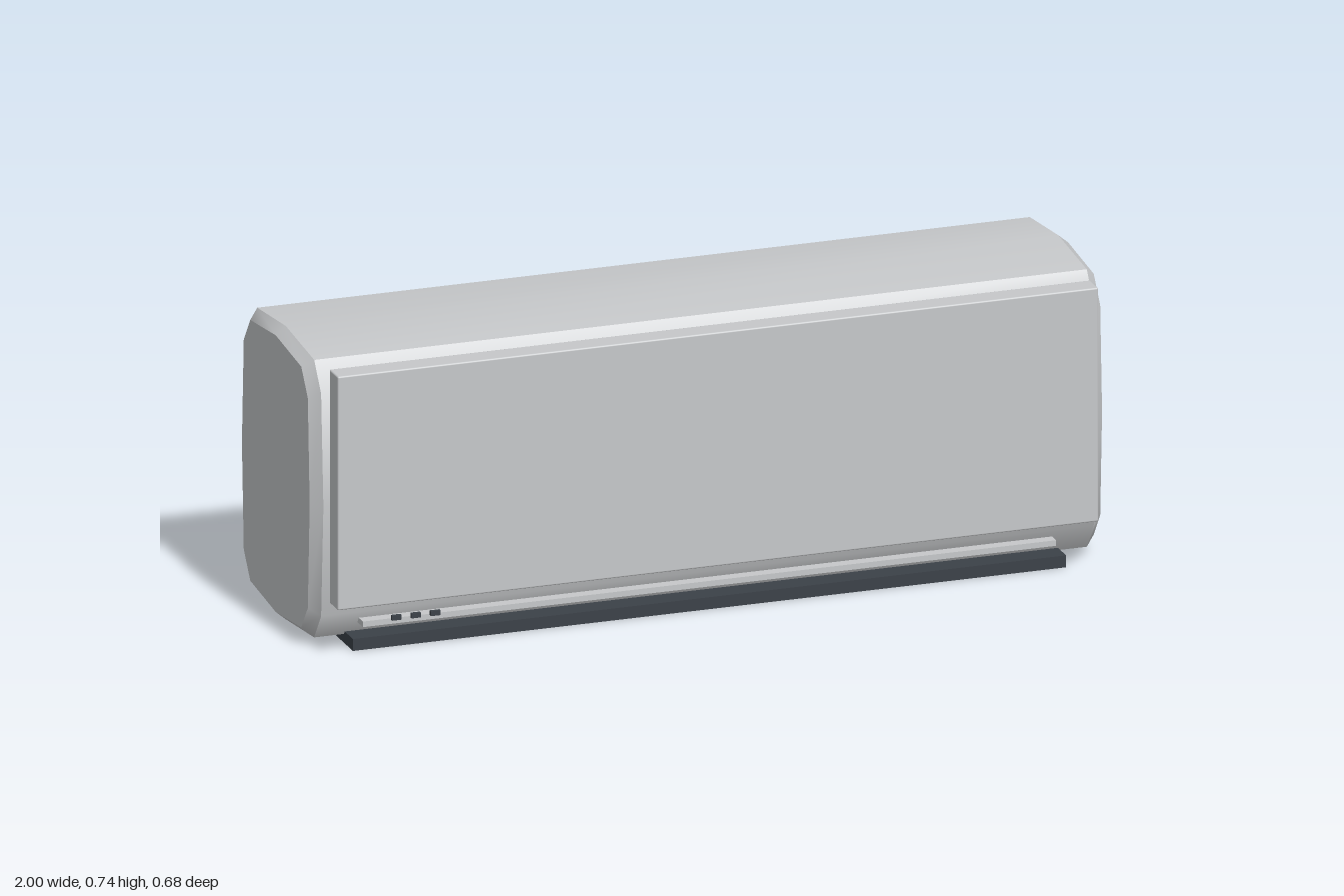
import * as THREE from 'three';
import { toCreasedNormals } from 'three/addons/utils/BufferGeometryUtils.js';
import { RoundedBoxGeometry } from 'three/addons/geometries/RoundedBoxGeometry.js';

const MID_Y = 0.371, MID_Z = 0.004;

// Mirror one quarter profile into a closed 12-point loop, anticlockwise seen from +x
function section(x, quarter) {
  const [side, low, high, top] = quarter;
  const loop = [
    side, low, high, top,
    [-high[0], high[1]], [-low[0], low[1]], [-side[0], 0],
    [-low[0], -low[1]], [-high[0], -high[1]], [0, -top[1]],
    [high[0], -high[1]], [low[0], -low[1]],
  ];
  return loop.map(([u, v]) => [x, MID_Y + v, MID_Z - u]);
}

// Loft the casing through its cross-sections and close both ends
function casingGeometry() {
  const full = [[0.266, 0], [0.25, 0.28], [0.201, 0.349], [0, 0.369]];
  const inset = [[0.239, 0], [0.226, 0.264], [0.18, 0.328], [0, 0.348]];
  const rings = [section(-1, inset), section(-0.975, full), section(0.975, full), section(1, inset)];
  const pos = [];
  const n = rings[0].length;
  for (let i = 0; i < n; i++) {
    const j = (i + 1) % n;
    for (let r = 0; r < 3; r++) {
      const a = rings[r], b = rings[r + 1];
      pos.push(...a[i], ...a[j], ...b[i], ...a[j], ...b[j], ...b[i]);
    }
    pos.push(-1, MID_Y, MID_Z, ...rings[0][j], ...rings[0][i]);
    pos.push(1, MID_Y, MID_Z, ...rings[3][i], ...rings[3][j]);
  }
  const g = new THREE.BufferGeometry();
  g.setAttribute('position', new THREE.Float32BufferAttribute(pos, 3));
  return toCreasedNormals(g, 0.68);
}

export function createModel() {
  const group = new THREE.Group();
  const material = (name, color) => {
    const m = new THREE.MeshStandardMaterial({ color });
    m.name = name;
    return m;
  };
  const shell = material('pale grey plastic', 0xc6c8ca);
  const dark = material('dark slate', 0x3b4148);
  const copper = material('copper', 0xb87345);

  const add = (name, geometry, mat, x, y, z) => {
    const mesh = new THREE.Mesh(geometry, mat);
    mesh.name = name;
    mesh.position.set(x, y, z);
    group.add(mesh);
    return mesh;
  };

  add('casing', casingGeometry(), shell, 0, 0, 0);

  // Front cover standing just ahead of the casing
  add('frontPanel', new RoundedBoxGeometry(1.92, 0.588, 0.06, 2, 0.004), shell, 0, 0.422, 0.3);

  // Air outlet and the slim lip above it
  add('outletLouver', new THREE.BoxGeometry(1.8, 0.03, 0.2), dark, 0, 0.015, 0.169);
  add('outletLip', new THREE.BoxGeometry(1.75, 0.014, 0.06), shell, 0, 0.064, 0.239);

  // Indicator lights
  for (let i = 0; i < 3; i++) {
    add('indicator' + (i + 1), new THREE.BoxGeometry(0.024, 0.012, 0.009), dark, -0.814 + i * 0.049, 0.096, 0.334);
  }

  // Hexagonal refrigerant pipes leaving the back
  for (const [name, x, radius] of [['widePipe', 0.722, 0.03], ['narrowPipe', 0.797, 0.02]]) {
    const g = toCreasedNormals(new THREE.CylinderGeometry(radius, radius, 0.1, 6), 0.5);
    g.rotateX(Math.PI / 2);
    add(name, g, copper, x, 0.102, -0.288);
  }

  return group;
}
